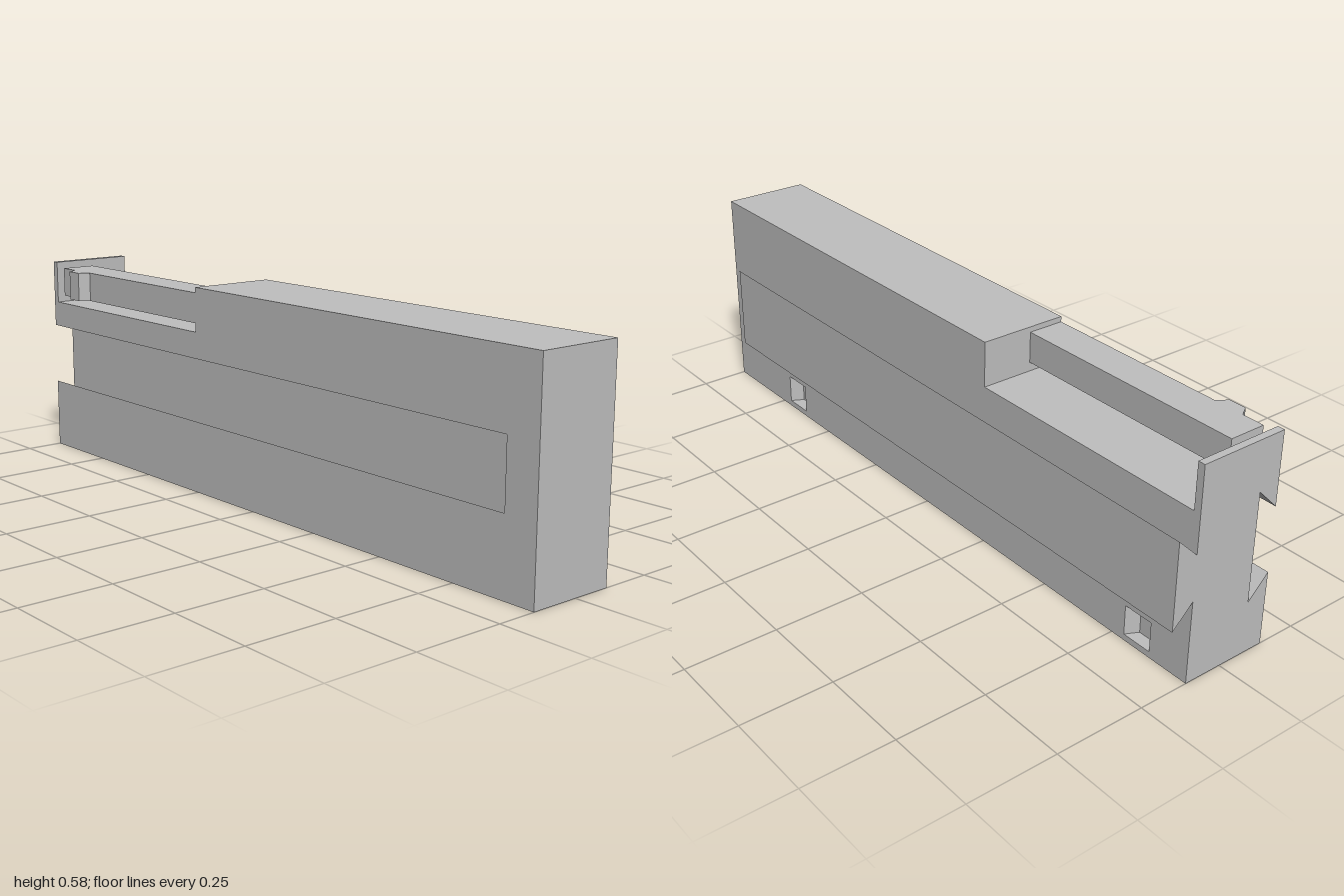
import * as THREE from 'three';

const TOP = 0.585, FRONT = 0.14, BACK = -0.11, RAIL = -0.169, GROOVE = FRONT - 0.06, ARM = 0.037;

// Flat polygon (with holes) placed in space by a mapping function
function panel(points, place, flip = false, holes = []) {
  const toV = p => p.map(([a, b]) => new THREE.Vector2(a, b));
  const shape = new THREE.Shape(toV(points));
  shape.holes = holes.map(h => new THREE.Path(toV(h)));
  const g = new THREE.ShapeGeometry(shape).toNonIndexed();
  const p = g.attributes.position, out = [];
  for (let i = 0; i < p.count; i += 3)
    for (const k of flip ? [0, 2, 1] : [0, 1, 2]) out.push(...place(p.getX(i + k), p.getY(i + k)));
  return fromTriangles(out);
}

// Strip of quads joining two matching paths
function strip(a, b, flip = false) {
  const out = [];
  for (let i = 0; i + 1 < a.length; i++) {
    const q = [a[i], a[i + 1], b[i + 1], a[i], b[i + 1], b[i]];
    for (const v of flip ? q.reverse() : q) out.push(...v);
  }
  return fromTriangles(out);
}

function fromTriangles(list) {
  const g = new THREE.BufferGeometry();
  g.setAttribute('position', new THREE.Float32BufferAttribute(list, 3));
  g.computeVertexNormals();
  return g;
}

const atZ = z => (x, y) => [x, y, z];
const atX = x => (z, y) => [x, y, z];
const sweepX = (path, x0, x1) =>
  strip(path.map(([z, y]) => [x0, y, z]), path.map(([z, y]) => [x1, y, z]));
const rect = (x0, x1, y0, y1) => [[x0, y0], [x1, y0], [x1, y1], [x0, y1]];

export function createModel() {
  const model = new THREE.Group();
  const grey = new THREE.MeshStandardMaterial({ color: 0xbfbfbf, side: THREE.DoubleSide });
  grey.name = 'light grey';

  function part(name, ...geometries) {
    const group = new THREE.Group();
    group.name = name;
    geometries.forEach((g, i) => {
      const mesh = new THREE.Mesh(g, grey);
      mesh.name = `${name}Face${i + 1}`;
      group.add(mesh);
    });
    model.add(group);
  }

  // Block with sides that taper in x: a raised bump, or a recess when flipped
  function taperedBlock(name, x0, x1, y0, y1, z0, z1, recess) {
    const base = rect(x0, x1, y0, y1), tip = rect(x0 + 0.018, x1 - 0.018, y0, y1);
    const ring = (r, z) => [...r, r[0]].map(([x, y]) => [x, y, z]);
    part(name, strip(ring(base, z0), ring(tip, z1), recess), panel(tip, atZ(z1), recess));
    return base;
  }

  // Latch bump and the two matching recesses
  const bump = taperedBlock('latchBump', -0.877, -0.791, 0.485, 0.57, FRONT, 0.169, false);
  const recesses = [0.665, -0.835].map((x, i) =>
    taperedBlock(`latchRecess${i + 1}`, x - 0.043, x + 0.043, 0.017, 0.1, BACK, BACK + 0.035, true));

  // Main block: outer rim with the open pocket at the top
  const pocket = [[-0.25, 0.46], [-0.98, 0.46], [-0.98, TOP], [-1, TOP]];
  const base = [[-1, 0], [1, 0], [1, TOP], [-0.25, TOP]];
  const rim = [...base, ...pocket];
  part('blockRim', strip(rim.map(([x, y]) => [x, y, BACK]), rim.map(([x, y]) => [x, y, FRONT])));

  // Front face, including the front of the latch arm
  part('frontFace', panel([...base, [-0.25, 0.57], [-0.94, 0.57], [-0.94, 0.485], [-0.25, 0.485], ...pocket,
    [-1, 0.385], [0.905, 0.385], [0.905, 0.205], [-1, 0.205]], atZ(FRONT), false, [bump]));

  // Back face, open behind the rail and at the recesses
  part('backFace', panel([...rim, [-1, 0.355], [0.87, 0.355], [0.87, 0.23], [-1, 0.23]],
    atZ(BACK), true, recesses));

  // Dovetail groove in the front and dovetail rail on the back
  const groove = [[FRONT, 0.385], [GROOVE, 0.445], [GROOVE, 0.145], [FRONT, 0.205]];
  const rail = [[BACK, 0.23], [RAIL, 0.172], [RAIL, 0.413], [BACK, 0.355]];
  part('dovetailGroove', sweepX(groove, -1, 0.905), panel(groove, atX(0.905)));
  part('dovetailRail', sweepX(rail, -1, 0.87), panel(rail, atX(0.87), true));

  // End face showing the section of groove and rail
  part('endFace', panel([[BACK, 0], [FRONT, 0], ...[...groove].reverse(), [FRONT, TOP], [BACK, TOP],
    ...[...rail].reverse()], atX(-1)));

  // Springy latch arm
  const arm = [[FRONT, 0.485], [ARM, 0.485], [ARM, 0.57], [FRONT, 0.57]];
  part('latchArm', sweepX(arm, -0.94, -0.25), panel(arm, atX(-0.94)));

  return model;
}
